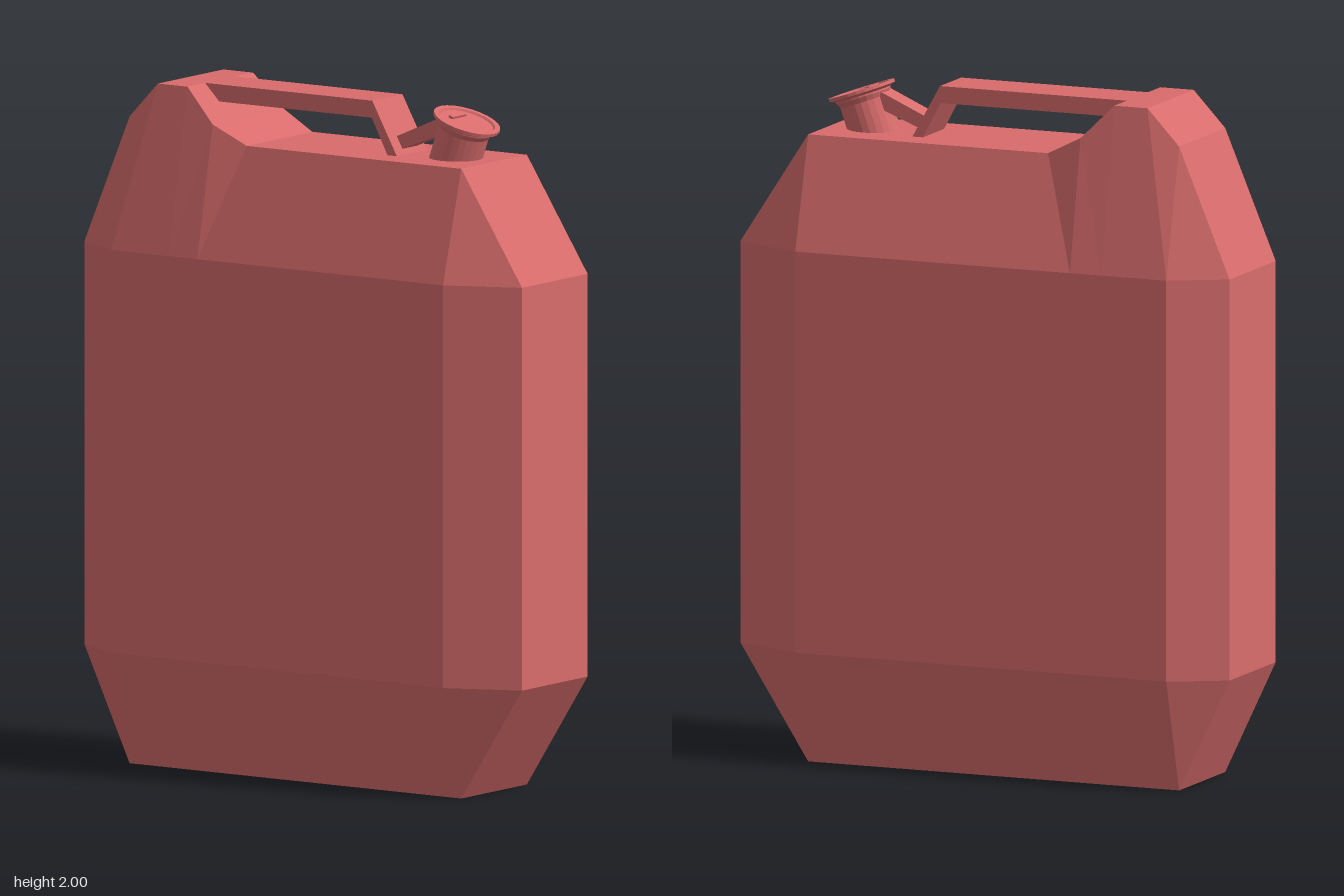
import * as THREE from 'three';

const red = new THREE.MeshStandardMaterial({ color: 0xd96c6c, flatShading: true });
red.name = 'red plastic';

function add(parent, name, geometry) {
  const mesh = new THREE.Mesh(geometry, red);
  mesh.name = name;
  parent.add(mesh);
  return mesh;
}

// Side profile extruded symmetrically about z = 0
function slab(points, width) {
  const shape = new THREE.Shape(points.map(([x, y]) => new THREE.Vector2(x, y)));
  return new THREE.ExtrudeGeometry(shape, { depth: width, bevelEnabled: false }).translate(0, 0, -width / 2);
}

// Bevelled tank: outer outline joined to a flat rectangular panel on each side
function tankGeometry() {
  const L = -0.615, R = 0.56, B = 0.335, T = 1.515;
  const edge = 0.165, panel = 0.257;
  // outline x, y, half depth
  const outline = [
    [L, 0], [R, 0], [0.775, B], [0.775, T], [R, 1.845], [-0.2, 1.845], [-0.31, 1.9, 0.18],
    [-0.41, 2], [-0.515, 2], [L, 1.895], [-0.775, T], [-0.775, B],
  ].map(([x, y, z = edge]) => new THREE.Vector3(x, y, z));
  const inner = outline.map((p) => new THREE.Vector3(
    THREE.MathUtils.clamp(p.x, L, R), THREE.MathUtils.clamp(p.y, B, T), panel));
  const back = (p) => new THREE.Vector3(p.x, p.y, -p.z);
  const pos = [];
  const tri = (a, b, c) => {
    if (new THREE.Triangle(a, b, c).getArea() > 1e-6) for (const p of [a, b, c]) pos.push(p.x, p.y, p.z);
  };
  const bothSides = (a, b, c) => {
    tri(a, b, c);
    tri(back(a), back(c), back(b));
  };
  outline.forEach((a, i) => {
    const j = (i + 1) % outline.length, b = outline[j];
    // bevel
    bothSides(a, b, inner[j]);
    bothSides(a, inner[j], inner[i]);
    // rim
    tri(a, back(a), back(b));
    tri(a, back(b), b);
  });
  // flat panels
  const [p, q, r, s] = [[L, B], [R, B], [R, T], [L, T]].map(([x, y]) => new THREE.Vector3(x, y, panel));
  bothSides(p, q, r);
  bothSides(p, r, s);
  const g = new THREE.BufferGeometry();
  g.setAttribute('position', new THREE.Float32BufferAttribute(pos, 3));
  g.computeVertexNormals();
  return g;
}

export function createModel() {
  const model = new THREE.Group();
  model.name = 'jerrycan';

  add(model, 'tank', tankGeometry());

  // Carrying handle bridging the recess
  add(model, 'handle', slab([
    [-0.41, 2], [-0.41, 1.95], [0.18, 1.95], [0.237, 1.843], [0.27, 1.843], [0.182, 2],
  ], 0.152));

  // Strap holding the cap to the handle
  add(model, 'capStrap', slab([[0.235, 1.894], [0.25, 1.857], [0.39, 1.912], [0.39, 1.962]], 0.07));

  // Tilted spout with a dished cap
  const spout = new THREE.Group();
  spout.name = 'spout';
  spout.position.set(0.425, 1.845, 0);
  spout.rotation.z = -0.335;
  model.add(spout);
  const lathe = (pts) => new THREE.LatheGeometry(pts.map(([x, y]) => new THREE.Vector2(x, y)), 24);
  add(spout, 'neck', lathe([[0.075, -0.03], [0.075, 0.085], [0.083, 0.1], [0.083, 0.108]]));
  add(spout, 'cap', lathe([[0, 0.105], [0.083, 0.105], [0.1, 0.112], [0.1, 0.121], [0.084, 0.121], [0.08, 0.115], [0, 0.115]]));
  add(spout, 'capRidge', new THREE.BoxGeometry(0.014, 0.008, 0.07)).position.set(-0.035, 0.118, 0);

  return model;
}
